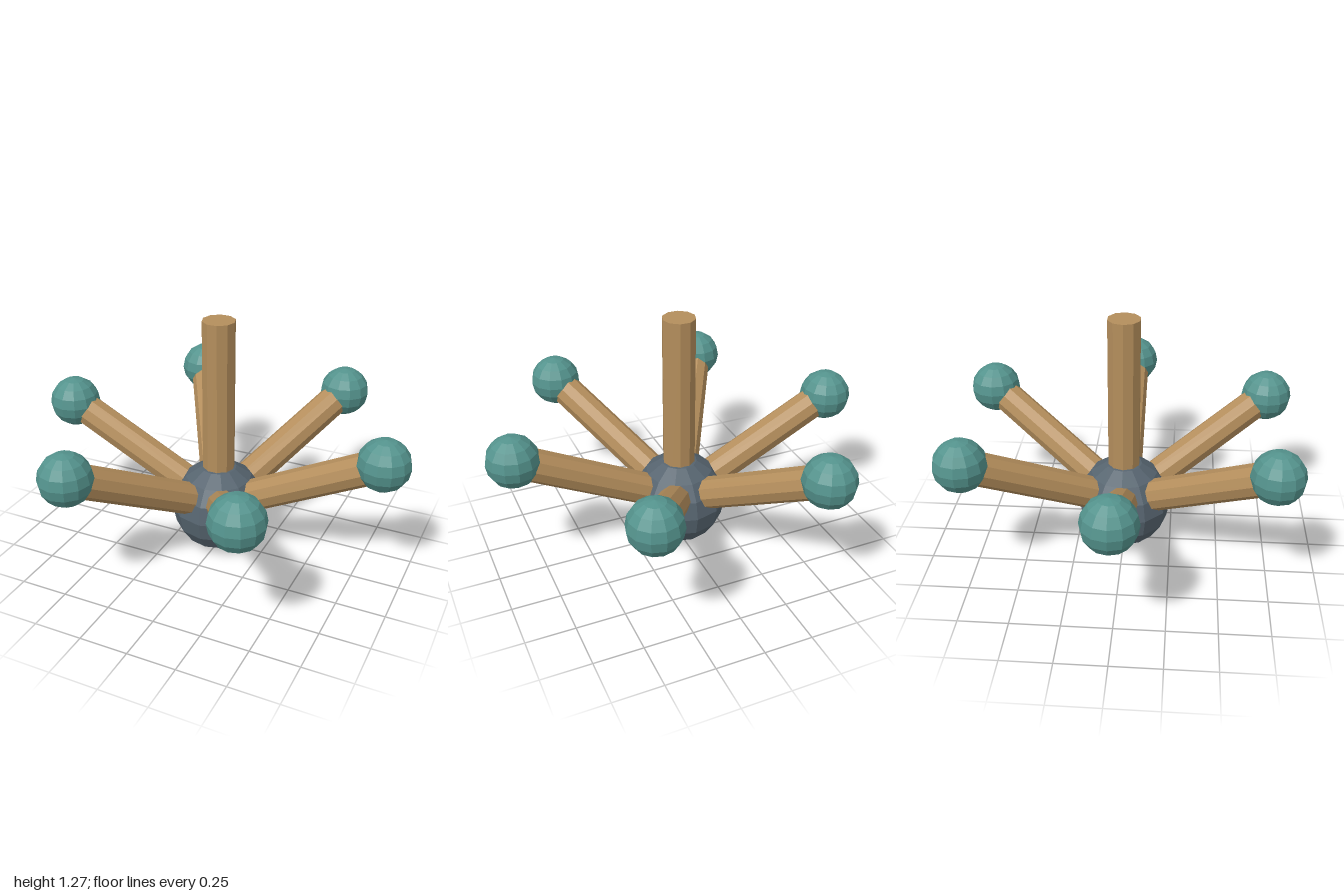
import * as THREE from 'three';

const mat = (name, color) => {
  const m = new THREE.MeshStandardMaterial({ color, flatShading: true });
  m.name = name;
  return m;
};

export function createModel() {
  const wood = mat('wood', 0xb48e5c);
  const teal = mat('teal', 0x54938d);
  const slate = mat('slate', 0x56646f);

  const model = new THREE.Group();
  model.name = 'molecule';

  const HUB_Y = 0.247, REACH = 0.866, RISE = 0.435, ROD_R = 0.084;
  const add = (parent, name, geometry, material) => {
    const mesh = new THREE.Mesh(geometry, material);
    mesh.name = name;
    parent.add(mesh);
    return mesh;
  };

  // Ten-sided rod starting at the origin and rising along y
  const rod = (length) => new THREE.CylinderGeometry(ROD_R, ROD_R, length, 10)
    .rotateY(Math.PI / 10)
    .translate(0, length / 2, 0);

  // Central hub and upright post
  add(model, 'hub', new THREE.SphereGeometry(0.246, 12, 8), slate).position.y = HUB_Y;
  add(model, 'post', rod(1.275 - HUB_Y), wood).position.y = HUB_Y;

  // Six sloping arms, each with a ball at its tip
  const armGeometry = rod(Math.hypot(REACH, RISE)).rotateX(Math.atan2(REACH, RISE));
  const ballGeometry = new THREE.SphereGeometry(0.134, 12, 8);
  for (let i = 0; i < 6; i++) {
    const angle = Math.PI / 2 + (i * Math.PI) / 3;
    const branch = new THREE.Group();
    branch.name = `branch${i + 1}`;
    branch.position.y = HUB_Y;
    add(branch, 'arm', armGeometry, wood).rotation.y = angle;
    add(branch, 'ball', ballGeometry, teal)
      .position.set(Math.sin(angle) * REACH, RISE, Math.cos(angle) * REACH);
    model.add(branch);
  }
  return model;
}
